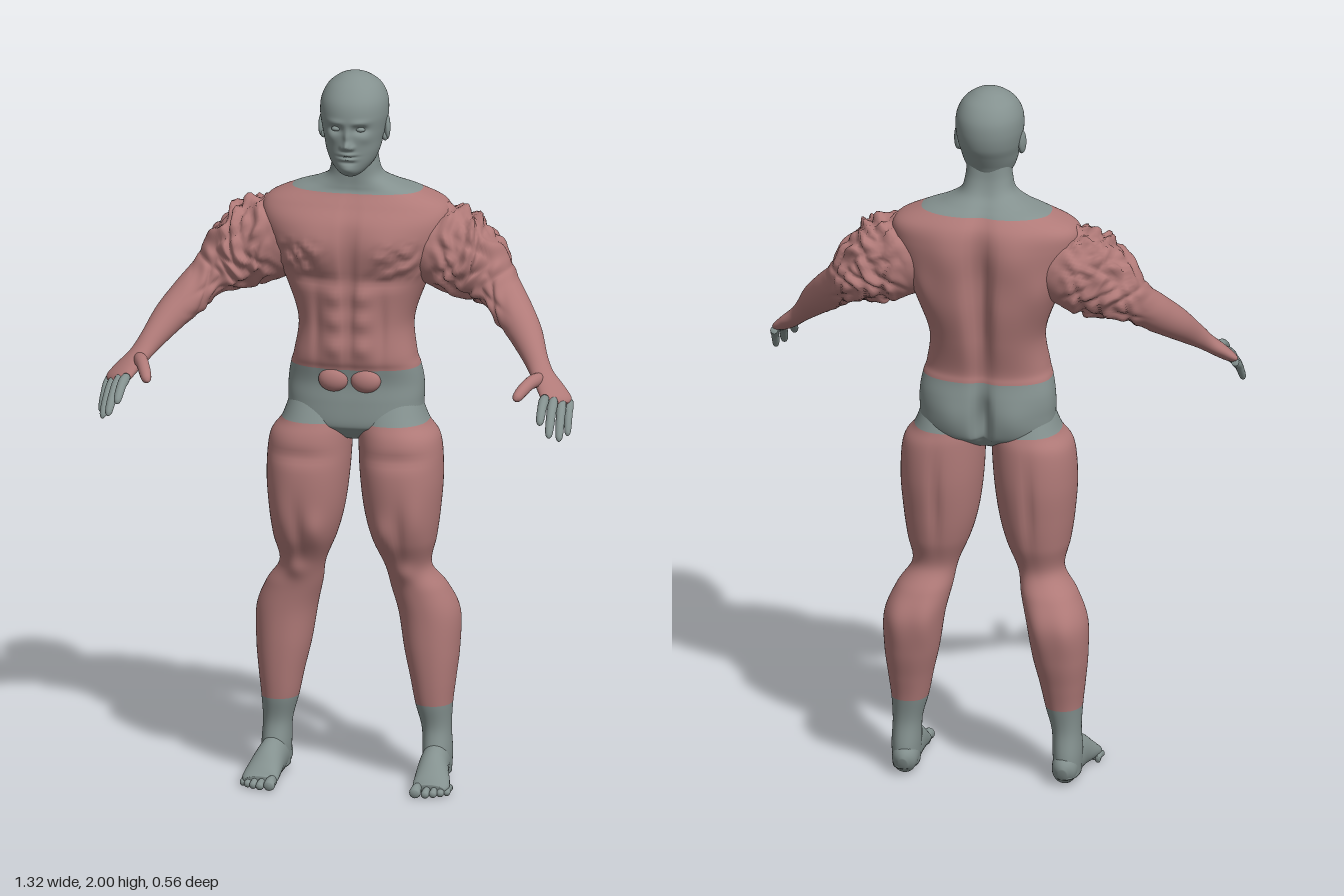
import * as THREE from 'three';

const material = (name, color) => {
  const m = new THREE.MeshStandardMaterial({ color });
  m.name = name;
  return m;
};
const V = (x, y, z) => new THREE.Vector3(x, y, z);

// Catmull-Rom subdivision of every number in a list of rows
function refine(rows, steps) {
  const out = [];
  for (let i = 0; i < rows.length - 1; i++) {
    const p = rows[Math.max(i - 1, 0)], a = rows[i], b = rows[i + 1], n = rows[Math.min(i + 2, rows.length - 1)];
    for (let k = 0; k < steps; k++) {
      const t = k / steps, t2 = t * t, t3 = t2 * t;
      out.push(a.map((v, c) => v * (2 * t3 - 3 * t2 + 1) + b[c] * (3 * t2 - 2 * t3)
        + (b[c] - p[c]) / 2 * (t3 - 2 * t2 + t) + (n[c] - v) / 2 * (t3 - t2)));
    }
  }
  out.push(rows[rows.length - 1]);
  return out;
}

// Joins rings of points into a closed skin; slot(y) picks the material of each band
function skin(rings, slot = () => 0) {
  const n = rings[0].length, pos = [], geo = new THREE.BufferGeometry(), index = [];
  rings.forEach(r => r.forEach(p => pos.push(p.x, p.y, p.z)));
  const add = (faces, s) => {
    geo.addGroup(index.length, faces.length, s);
    index.push(...faces);
  };
  for (let i = 0; i < rings.length - 1; i++) {
    const faces = [];
    for (let j = 0; j < n; j++) {
      const a = i * n + j, b = i * n + (j + 1) % n;
      faces.push(a, a + n, b, b, a + n, b + n);
    }
    add(faces, slot((rings[i][0].y + rings[i + 1][0].y) / 2));
  }
  [0, rings.length - 1].forEach((r, end) => {
    const c = rings[r].reduce((s, p) => s.add(p), V(0, 0, 0)).divideScalar(n), faces = [];
    const id = pos.length / 3;
    pos.push(c.x, c.y, c.z);
    for (let j = 0; j < n; j++) {
      const a = r * n + j, b = r * n + (j + 1) % n;
      faces.push(id, end ? b : a, end ? a : b);
    }
    add(faces, slot(c.y));
  });
  geo.setAttribute('position', new THREE.Float32BufferAttribute(pos, 3));
  geo.setIndex(index);
  geo.computeVertexNormals();
  return geo;
}

// Upright body: rows are [y, centre x, half width, front z, back z].
// Muscles are soft bumps: [x, y, spread x, spread y, height, 1 front / -1 back]
function upright(rows, { power = 2, muscles = [], slot, sides = 64, steps = 8, extra } = {}) {
  const curve = v => Math.sign(v) * Math.abs(v) ** (2 / power);
  return skin(refine(rows, steps).map(([y, cx, rx, zf, zb]) => Array.from({ length: sides }, (_, j) => {
    const t = j / sides * Math.PI * 2, s = curve(Math.sin(t));
    const p = V(cx + rx * curve(Math.cos(t)), y, (zf + zb) / 2 + (zf - zb) / 2 * s);
    let push = 0;
    for (const [x, my, sx, sy, h, dir] of muscles) {
      if (dir * s <= 0) continue;
      push += dir * h * Math.min(1, Math.abs(s) * 1.3)
        * Math.exp(-(((Math.abs(p.x) - x) / sx) ** 2) - ((y - my) / sy) ** 2);
    }
    p.z += push;
    if (extra && s > 0) p.z += extra(p);
    return p;
  })), slot);
}

// Limb along a path: rows are [x, y, z, horizontal radius, vertical radius]
function limb(rows, { sides = 16, steps = 5, swell } = {}) {
  const path = refine(rows, steps);
  return skin(path.map(([x, y, z, a, b], i) => {
    const p = path[Math.max(i - 1, 0)], q = path[Math.min(i + 1, path.length - 1)];
    const T = V(q[0] - p[0], q[1] - p[1], q[2] - p[2]).normalize();
    const u = T.clone().cross(V(0, 1, 0)).normalize(), v = u.clone().cross(T);
    return Array.from({ length: sides }, (_, j) => {
      const t = j / sides * Math.PI * 2, c = V(x, y, z);
      const d = u.clone().multiplyScalar(a * Math.cos(t)).addScaledVector(v, b * Math.sin(t));
      if (swell) d.multiplyScalar(1 + swell(c.clone().add(d)));
      c.add(d);
      c.y = Math.max(c.y, 0);
      return c;
    });
  }));
}

function mirrored(geo) {
  const g = geo.clone().scale(-1, 1, 1), a = g.index.array;
  for (let i = 0; i < a.length; i += 3) [a[i], a[i + 1]] = [a[i + 1], a[i]];
  g.computeVertexNormals();
  return g;
}

// Torn, lumpy muscle texture
const crumple = p => Math.abs(Math.sin(38 * p.x + 2 * Math.sin(41 * p.y)) * Math.sin(44 * p.z + 33 * p.y + 2 * Math.sin(47 * p.x))) - 0.45;
const bell = (v, mid, w) => Math.exp(-(((v - mid) / w) ** 4));

export function createModel() {
  const model = new THREE.Group();
  model.name = 'muscularFigure';
  const skinGray = material('skinGray', 0x84918f), muscleRed = material('muscleRed', 0xb07a78);
  const both = [skinGray, muscleRed];
  const add = (name, geo, mat, parent = model) => {
    const m = new THREE.Mesh(geo, mat);
    m.name = name;
    parent.add(m);
    return m;
  };
  const pair = (name, geo, mat) => {
    add(name + 'Left', geo, mat);
    add(name + 'Right', mirrored(geo), mat);
  };
  const ball = (x, y, z, a, b, c) => new THREE.SphereGeometry(1, 24, 16).scale(a, b, c).translate(x, y, z);

  // Trunk with pelvis, chest, shoulders and neck
  add('trunk', upright([
    [0.97, 0, 0.03, -0.07, -0.18], [1.0, 0, 0.12, -0.035, -0.22], [1.02, 0, 0.178, -0.022, -0.235],
    [1.08, 0, 0.187, -0.025, -0.24], [1.13, 0, 0.186, -0.03, -0.24], [1.175, 0, 0.178, -0.022, -0.235],
    [1.21, 0, 0.168, -0.012, -0.235], [1.3, 0, 0.158, -0.012, -0.26], [1.4, 0, 0.19, -0.008, -0.28],
    [1.5, 0, 0.235, 0.004, -0.28], [1.58, 0, 0.26, -0.005, -0.28], [1.63, 0, 0.25, -0.035, -0.27],
    [1.665, 0, 0.18, -0.058, -0.243], [1.685, 0, 0.12, -0.062, -0.22], [1.71, 0, 0.077, -0.062, -0.192],
    [1.75, 0, 0.064, -0.06, -0.175], [1.8, 0, 0.06, -0.06, -0.17],
  ], {
    power: 2.5, sides: 112, slot: y => (y > 1.175 && y < 1.665 ? 1 : 0),
    muscles: [
      [0.1, 1.53, 0.08, 0.055, 0.014, 1], [0, 1.48, 0.012, 0.13, -0.014, 1], [0.1, 1.43, 0.07, 0.02, -0.012, 1],
      ...[1.385, 1.315, 1.24].map(y => [0.038, y, 0.026, 0.027, 0.012, 1]),
      [0, 1.3, 0.01, 0.12, -0.008, 1], [0.09, 1.3, 0.014, 0.1, -0.008, 1],
      [0, 1.42, 0.028, 0.2, -0.045, -1], [0.09, 1.55, 0.06, 0.09, 0.014, -1], [0.17, 1.45, 0.04, 0.07, 0.01, -1],
      [0.085, 1.07, 0.06, 0.06, 0.014, -1], [0, 1.06, 0.018, 0.08, -0.045, -1],
    ],
    extra: p => 0.022 * crumple(p) * bell(Math.abs(p.x), 0.135, 0.06) * bell(p.y, 1.49, 0.045),
  }), both);
  pair('lowerAbdominal', ball(0.045, 1.145, -0.035, 0.042, 0.034, 0.026), muscleRed);

  // Head with sculpted face
  add('head', upright([
    [1.722, 0, 0.018, -0.03, -0.07], [1.735, 0, 0.038, -0.01, -0.12], [1.76, 0, 0.06, -0.004, -0.16],
    [1.79, 0, 0.073, -0.002, -0.178], [1.82, 0, 0.08, 0, -0.195], [1.85, 0, 0.087, 0.002, -0.21],
    [1.89, 0, 0.093, 0.006, -0.217], [1.93, 0, 0.09, -0.003, -0.212], [1.965, 0, 0.073, -0.03, -0.19],
    [1.988, 0, 0.045, -0.062, -0.157], [1.997, 0, 0.022, -0.085, -0.134], [2, 0, 0.004, -0.105, -0.113],
  ], {
    power: 2.1, sides: 128, steps: 10,
    muscles: [
      [0, 1.815, 0.011, 0.011, 0.022, 1], [0, 1.838, 0.009, 0.022, 0.012, 1], [0.013, 1.81, 0.007, 0.007, 0.009, 1],
      [0.034, 1.86, 0.018, 0.011, -0.013, 1], [0.034, 1.88, 0.024, 0.008, 0.005, 1], [0.05, 1.835, 0.018, 0.016, 0.005, 1],
      [0, 1.79, 0.02, 0.005, 0.009, 1], [0, 1.776, 0.018, 0.005, 0.008, 1], [0, 1.783, 0.022, 0.0025, -0.006, 1],
      [0, 1.766, 0.02, 0.005, -0.005, 1], [0, 1.747, 0.02, 0.012, 0.006, 1],
    ],
  }), skinGray);
  pair('eye', ball(0.034, 1.86, -0.014, 0.013, 0.007, 0.01), skinGray);
  pair('ear', ball(0, 0, 0, 0.009, 0.035, 0.019).rotateX(-0.15).rotateY(0.25).translate(0.09, 1.848, -0.108), skinGray);
  pair('earLobe', ball(0.086, 1.822, -0.1, 0.008, 0.012, 0.01), skinGray);

  // Legs: bare below the ankle line, red above it, bare again at the hip
  pair('leg', upright([
    [0.02, 0.224, 0.036, -0.08, -0.212], [0.08, 0.224, 0.04, -0.075, -0.21], [0.15, 0.221, 0.04, -0.09, -0.2],
    [0.22, 0.214, 0.051, -0.078, -0.21], [0.29, 0.211, 0.062, -0.07, -0.228], [0.37, 0.206, 0.075, -0.065, -0.25],
    [0.47, 0.198, 0.083, -0.063, -0.262], [0.545, 0.174, 0.077, -0.058, -0.235], [0.61, 0.147, 0.063, -0.048, -0.198],
    [0.69, 0.138, 0.087, -0.005, -0.22], [0.77, 0.133, 0.103, 0.013, -0.235], [0.87, 0.13, 0.113, 0.018, -0.247],
    [0.97, 0.123, 0.112, 0.004, -0.245], [1.02, 0.107, 0.096, -0.016, -0.233], [1.08, 0.098, 0.083, -0.045, -0.21],
  ], {
    power: 2.2, slot: y => (y > 0.22 && y < 1.02 ? 1 : 0),
    muscles: [
      [0.09, 0.72, 0.028, 0.05, 0.012, 1], [0.19, 0.76, 0.03, 0.07, 0.008, 1], [0.14, 0.72, 0.015, 0.07, -0.008, 1],
      [0.14, 0.93, 0.09, 0.02, -0.008, 1], [0.15, 0.6, 0.03, 0.03, 0.012, 1],
      [0.15, 0.46, 0.03, 0.07, 0.008, -1], [0.24, 0.47, 0.03, 0.07, 0.006, -1], [0.13, 0.82, 0.014, 0.12, -0.01, -1],
    ],
  }), both);

  // Feet and toes
  pair('foot', limb([
    [0.222, 0.035, -0.217, 0.012, 0.018], [0.222, 0.042, -0.195, 0.033, 0.042], [0.224, 0.055, -0.13, 0.038, 0.058],
    [0.228, 0.05, -0.06, 0.042, 0.052], [0.235, 0.032, -0.005, 0.049, 0.034], [0.238, 0.022, 0.025, 0.05, 0.022],
    [0.238, 0.018, 0.042, 0.04, 0.013],
  ], { sides: 32 }), skinGray);
  [[0.203, 0.084, 0.016], [0.23, 0.08, 0.0115], [0.25, 0.07, 0.011], [0.268, 0.058, 0.0105], [0.283, 0.042, 0.01]]
    .forEach(([x, z, r], i) => pair('toe' + (i + 1), limb([
      [x, r, z - 0.06, r * 0.8, r], [x, r + 0.004, z - 0.03, r * 0.85, r], [x, r, z - 0.012, r, r],
      [x, r, z - 0.003, r * 0.75, r * 0.7], [x, r, z, r * 0.2, r * 0.2]]), skinGray));

  // Arms with torn shoulder and upper arm, down to the palm
  pair('arm', limb([
    [0.14, 1.52, -0.145, 0.09, 0.09], [0.21, 1.515, -0.147, 0.106, 0.112], [0.275, 1.497, -0.146, 0.106, 0.12],
    [0.33, 1.462, -0.138, 0.1, 0.102], [0.372, 1.428, -0.125, 0.082, 0.078], [0.41, 1.395, -0.102, 0.063, 0.058],
    [0.45, 1.355, -0.062, 0.056, 0.053], [0.495, 1.308, -0.01, 0.047, 0.045], [0.535, 1.255, 0.05, 0.034, 0.033],
    [0.56, 1.222, 0.085, 0.033, 0.025], [0.59, 1.19, 0.115, 0.042, 0.021], [0.613, 1.165, 0.138, 0.045, 0.016],
    [0.622, 1.155, 0.148, 0.025, 0.008],
  ], { sides: 72, steps: 10, swell: p => 0.22 * crumple(p) * bell(p.x, 0.33, 0.1) }), muscleRed);

  // Fingers from knuckle to tip, then the thumb
  const digit = (name, a, b, r, mat) => {
    const at = (t, lift, s) => [...a.map((v, c) => v + (b[c] - v) * t + (c === 1 ? lift : 0)), r * s, r * s];
    pair(name, limb([at(0, 0, 0.9), at(0.25, 0.008, 1.05), at(0.5, 0.012, 0.95), at(0.75, 0.008, 0.9),
      at(0.93, 0.002, 0.7), at(1, 0, 0.2)]), mat);
  };
  digit('indexFinger', [0.583, 1.175, 0.165], [0.589, 1.128, 0.272], 0.0135, skinGray);
  digit('middleFinger', [0.604, 1.168, 0.148], [0.614, 1.092, 0.27], 0.0135, skinGray);
  digit('ringFinger', [0.624, 1.16, 0.13], [0.636, 1.075, 0.236], 0.013, skinGray);
  digit('littleFinger', [0.641, 1.155, 0.108], [0.65, 1.078, 0.185], 0.0115, skinGray);
  digit('thumb', [0.56, 1.215, 0.1], [0.512, 1.183, 0.23], 0.018, muscleRed);
  return model;
}
